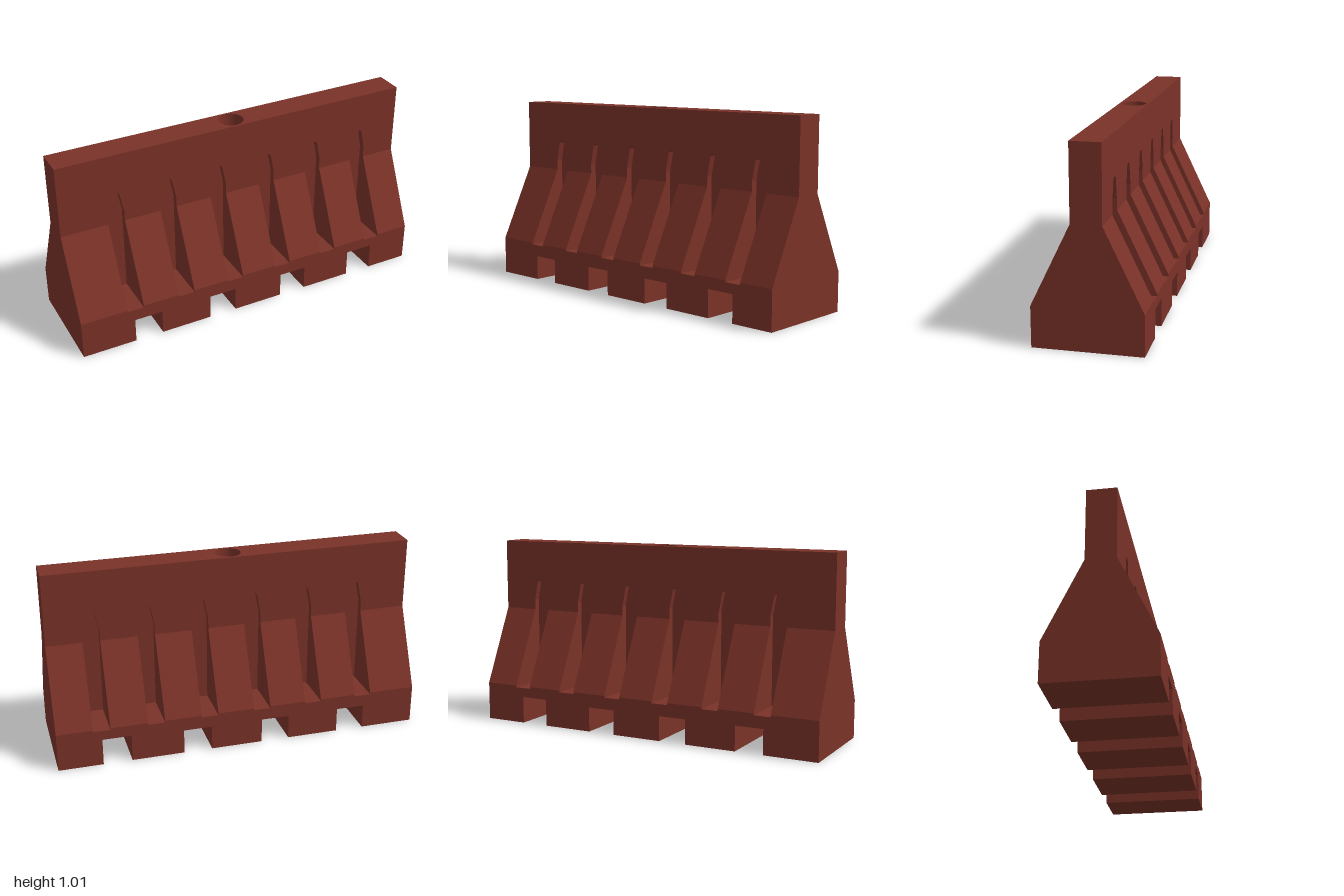
import * as THREE from 'three';

const HALF = 1, CORE_Z = 0.042, WALL_Z = 0.077, BASE_Z = 0.277;
const Y_FLOOR = 0.2, Y_LIP = 0.21, Y_NECK = 0.625, Y_CAP = 0.815, Y_TOP = 1.015;
const GROOVE_W = 0.046;
const grooves = Array.from({ length: 6 }, (_, i) => -0.699 + i * 0.292);
// forklift notches: left, right, height
const notches = [[-0.706, -0.551, 0.135], [-0.268, -0.114, 0.135], [0.167, 0.322, 0.135], [0.606, 0.761, 0.148]];

// each cut is a polyline running in +x, entering and leaving the strip's edge
const notchCuts = notches.map(([a, b, h]) => [[a, 0], [a, h], [b, h], [b, 0]]);
const floorCuts = grooves.map(c => [
  [c - GROOVE_W, Y_LIP], [c - GROOVE_W, Y_FLOOR], [c + GROOVE_W, Y_FLOOR], [c + GROOVE_W, Y_LIP]]);
const tipCuts = grooves.map(c => {
  const half = [[GROOVE_W, Y_NECK], [GROOVE_W, 0.68], [0.025, 0.785], [0.014, 0.8]];
  return [...half.map(([x, y]) => [c - x, y]), ...half.reverse().map(([x, y]) => [c + x, y])];
});

// strip between two heights with cuts in its lower and upper edges
function strip(x0, x1, y0, y1, lower = [], upper = []) {
  return [[x0, y0], ...lower.flat(), [x1, y0], [x1, y1],
    ...upper.flat().reverse(), [x0, y1]];
}

// extrude an outline from z0 out to a surface given by zAt(y); side -1 builds the back
function layer(points, z0, zAt, side = 1) {
  const shape = new THREE.Shape(points.map(([x, y]) => new THREE.Vector2(x * side, y)));
  const geo = new THREE.ExtrudeGeometry(shape, { depth: 1, bevelEnabled: false });
  const p = geo.attributes.position;
  for (let i = 0; i < p.count; i++) p.setZ(i, p.getZ(i) > 0.5 ? zAt(p.getY(i)) : z0);
  geo.computeVertexNormals();
  if (side < 0) geo.rotateY(Math.PI);
  return geo;
}

export function createModel() {
  const group = new THREE.Group();
  group.name = 'roadBarrier';
  const plastic = new THREE.MeshStandardMaterial({ color: 0x7a3228 });
  plastic.name = 'brick red';
  const add = (name, geo) => {
    const mesh = new THREE.Mesh(geo, plastic);
    mesh.name = name;
    group.add(mesh);
  };

  // central slab, which forms the backs of the grooves
  add('core', layer(strip(-HALF, HALF, 0, Y_CAP, notchCuts), -CORE_Z, () => CORE_Z));

  // front and back skins
  for (const side of [1, -1]) {
    const label = side > 0 ? 'front' : 'back';
    add(label + 'Foot', layer(strip(-HALF, HALF, 0, Y_LIP, notchCuts, floorCuts), CORE_Z, () => BASE_Z, side));

    // sloping panels between the grooves
    const slope = y => THREE.MathUtils.mapLinear(y, Y_LIP, Y_NECK, BASE_Z, WALL_Z);
    for (let i = 0; i <= grooves.length; i++) {
      const x0 = i === 0 ? -HALF : grooves[i - 1] + GROOVE_W;
      const x1 = i === grooves.length ? HALF : grooves[i] - GROOVE_W;
      add(label + 'SlopePanel', layer(strip(x0, x1, Y_LIP, Y_NECK), CORE_Z, slope, side));
    }

    // upright wall with the tapered groove tips
    add(label + 'Wall', layer(strip(-HALF, HALF, Y_NECK, Y_CAP, tipCuts), CORE_Z, () => WALL_Z, side));
  }

  // top beam with the round filling hole
  const beam = new THREE.Shape([[-HALF, -WALL_Z], [HALF, -WALL_Z], [HALF, WALL_Z], [-HALF, WALL_Z]]
    .map(([x, y]) => new THREE.Vector2(x, y)));
  beam.holes.push(new THREE.Path().absarc(0, 0, 0.067, 0, Math.PI * 2, true));
  const beamGeo = new THREE.ExtrudeGeometry(beam, { depth: Y_TOP - Y_CAP, bevelEnabled: false, curveSegments: 32 });
  beamGeo.rotateX(-Math.PI / 2).translate(0, Y_CAP, 0);
  add('topBeam', beamGeo);

  return group;
}
